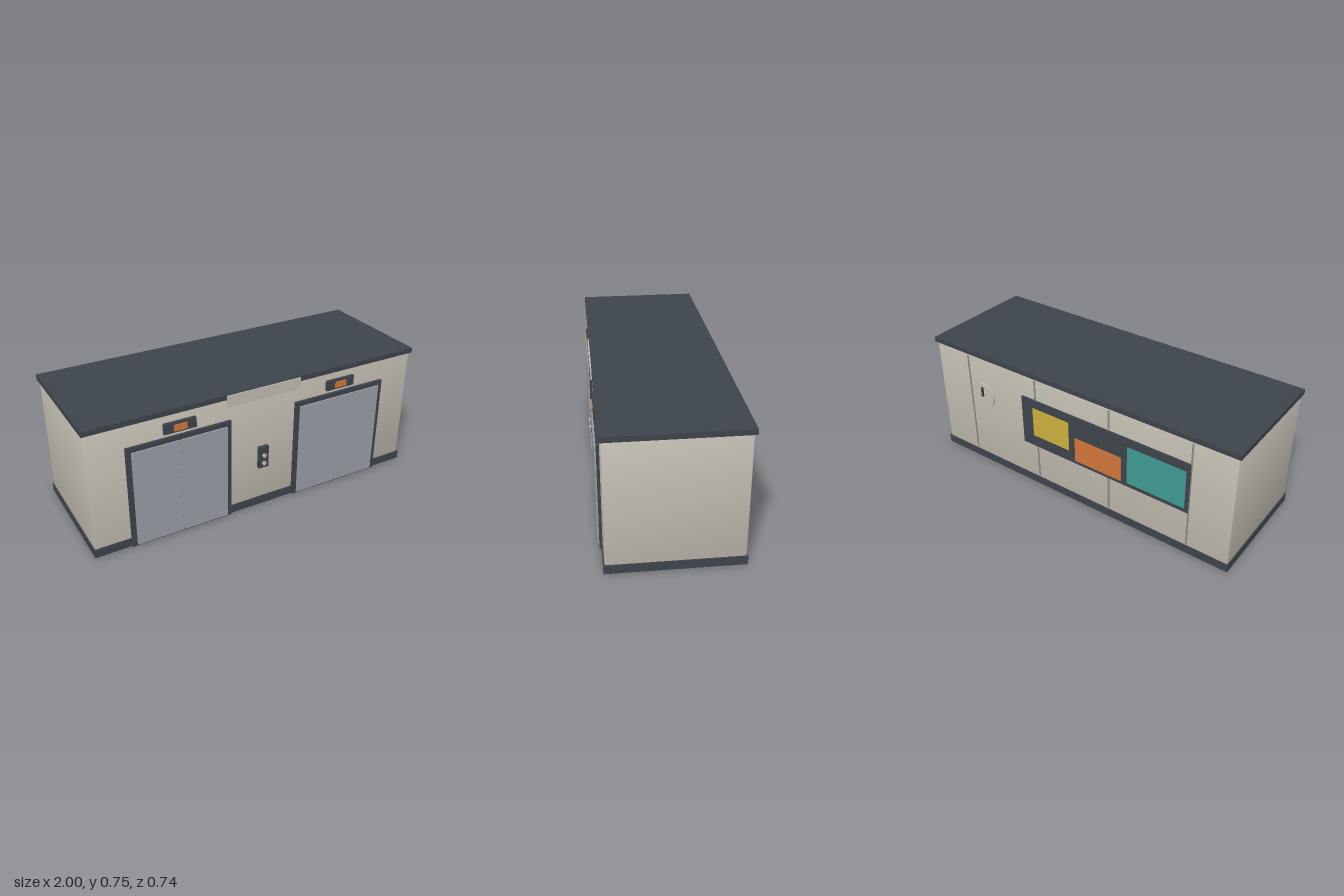
import * as THREE from 'three';
import { RoundedBoxGeometry } from 'three/addons/geometries/RoundedBoxGeometry.js';
import { toCreasedNormals } from 'three/addons/utils/BufferGeometryUtils.js';

const material = (name, color) => {
  const m = new THREE.MeshStandardMaterial({ color });
  m.name = name;
  return m;
};

export function createModel() {
  const wall = material('wall beige', 0xc2bdb1);
  const seam = material('seam grey', 0x8f8c84);
  const dark = material('dark trim', 0x3d444b);
  const steel = material('door steel', 0x9a9da6);
  const orange = material('orange', 0xd2763a);
  const yellow = material('yellow', 0xccae3c);
  const teal = material('teal', 0x3e9a92);

  const model = new THREE.Group();
  model.name = 'elevatorLobby';

  const add = (name, geometry, mat, parent = model) => {
    const mesh = new THREE.Mesh(geometry, mat);
    mesh.name = name;
    parent.add(mesh);
    return mesh;
  };
  // Box given by its limits on each axis
  const box = (name, mat, [x0, x1], [y0, y1], [z0, z1], parent) => {
    const mesh = add(name, new THREE.BoxGeometry(x1 - x0, y1 - y0, z1 - z0), mat, parent);
    mesh.position.set((x0 + x1) / 2, (y0 + y1) / 2, (z0 + z1) / 2);
    return mesh;
  };
  // Disc or button facing along z
  const disc = (name, mat, radius, x, y, [z0, z1], sides) => {
    const geometry = new THREE.CylinderGeometry(radius, radius, z1 - z0, sides).rotateX(Math.PI / 2);
    add(name, geometry, mat).position.set(x, y, (z0 + z1) / 2);
  };

  // Building shell with small chamfers
  const shell = toCreasedNormals(new RoundedBoxGeometry(1.978, 0.72, 0.693, 1, 0.009), 0.4);
  add('wallBlock', shell, wall).position.set(0, 0.36, -0.0035);
  box('baseboard', dark, [-0.994, 0.994], [0.001, 0.05], [-0.355, 0.349]);
  box('roof', dark, [-1, 1], [0.719, 0.748], [-0.36, 0.353]);

  // Elevators: frame, two door leaves and floor display
  for (const cx of [-0.495, 0.495]) {
    const elevator = new THREE.Group();
    elevator.name = cx < 0 ? 'rightElevator' : 'leftElevator';
    elevator.position.x = cx;
    model.add(elevator);
    box('doorFrame', dark, [-0.295, 0.295], [0, 0.595], [0.34, 0.358], elevator);
    for (const s of [-1, 1]) {
      const leaf = box('doorLeaf', steel, [0.002, 0.268], [0.01, 0.568], [0.356, 0.366], elevator);
      leaf.position.x *= s;
    }
    const display = Math.sign(cx) * -0.003;
    box('displayHousing', dark, [display - 0.09, display + 0.09], [0.617, 0.675], [0.342, 0.36], elevator);
    box('displayScreen', orange, [display - 0.037, display + 0.037], [0.626, 0.662], [0.359, 0.365], elevator);
  }

  // Blank sign over the front edge of the roof
  box('signPanel', wall, [-0.223, 0.223], [0.677, 0.744], [0.342, 0.36]);

  // Call panel between the doors
  box('callPanel', dark, [-0.03, 0.03], [0.25, 0.38], [0.342, 0.364]);
  for (const y of [0.279, 0.328]) disc('callButton', wall, 0.012, 0, y, [0.362, 0.373], 12);

  // Rear wall seams
  for (let i = 0; i < 4; i++) {
    const x = -0.745 + i * 0.4965;
    box('wallSeam', seam, [x - 0.004, x + 0.004], [0.06, 0.705], [-0.355, -0.348]);
  }

  // Notice board with three sheets
  box('noticeBoard', dark, [-0.745, 0.342], [0.275, 0.58], [-0.361, -0.348]);
  box('yellowSheet', yellow, [0.012, 0.263], [0.348, 0.53], [-0.364, -0.36]);
  box('orangeSheet', orange, [-0.335, -0.03], [0.295, 0.447], [-0.364, -0.36]);
  box('tealSheet', teal, [-0.725, -0.373], [0.3, 0.532], [-0.364, -0.36]);

  // Wall clock
  disc('clockFace', wall, 0.08, 0.642, 0.473, [-0.361, -0.348], 32);
  box('clockHand', dark, [0.636, 0.648], [0.472, 0.53], [-0.371, -0.36]);

  return model;
}
